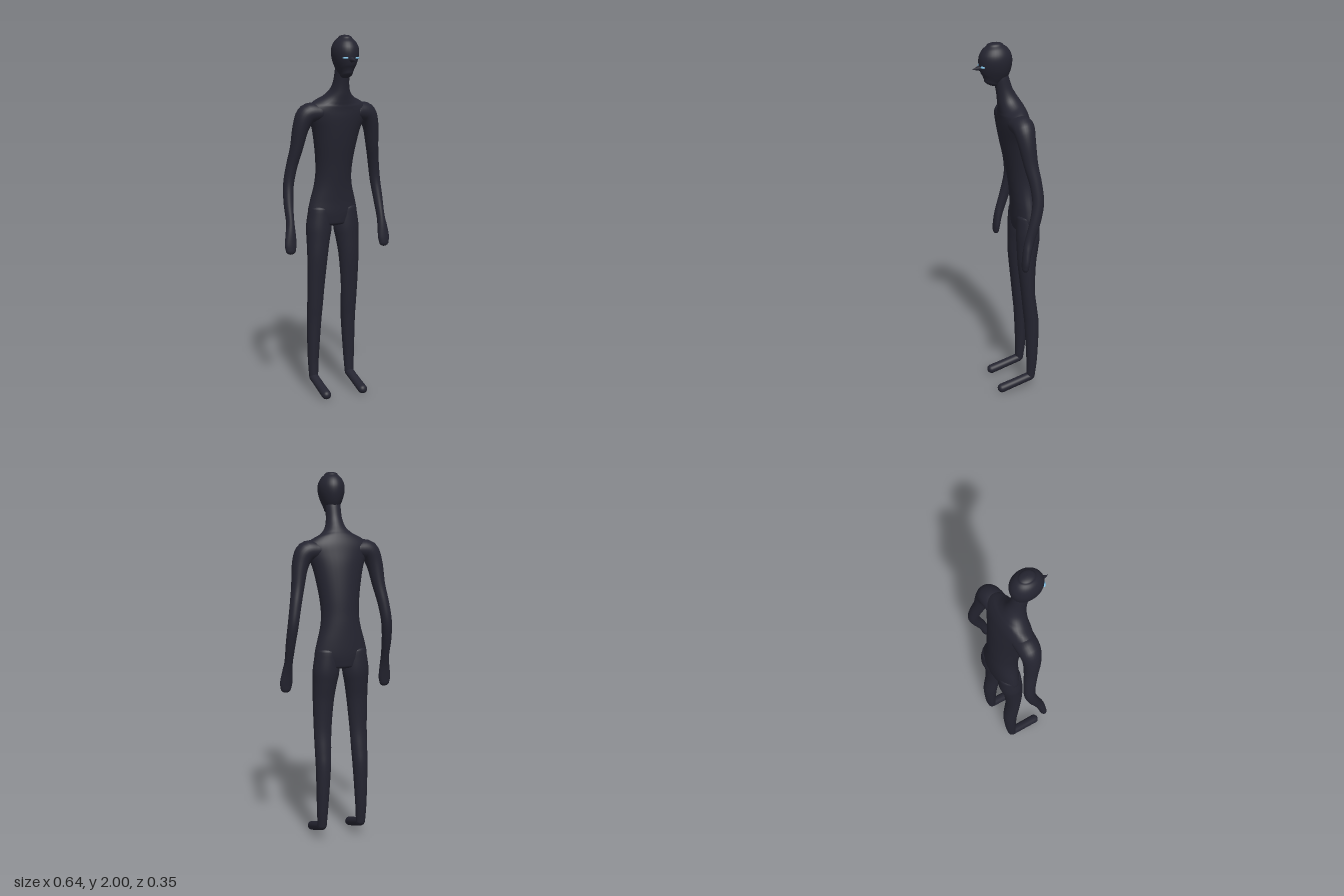
import * as THREE from 'three';

const skin = new THREE.MeshStandardMaterial({ color: 0x242430 });
skin.name = 'dark skin';
const eyeBlue = new THREE.MeshStandardMaterial({ color: 0x79b4d6 });
eyeBlue.name = 'eye blue';

const X = new THREE.Vector3(1, 0, 0);
const Z = new THREE.Vector3(0, 0, 1);

// Smooth skin over elliptical sections [x, y, z, radius along ref, other radius], with domed ends
function loft(name, sections, ref, cap0, cap1, steps = 5, sides = 32) {
  const path = new THREE.CatmullRomCurve3(sections.map(s => new THREE.Vector3(s[0], s[1], s[2])), false, 'catmullrom');
  const radii = new THREE.CatmullRomCurve3(sections.map(s => new THREE.Vector3(s[3], s[4], 0)), false, 'catmullrom');
  const pos = [], index = [];
  let rings = 0;
  const addRing = (u, shift, scale) => {
    const t = path.getTangent(u);
    const c = path.getPoint(u).addScaledVector(t, shift);
    const r = radii.getPoint(u);
    const s = ref.clone().addScaledVector(t, -ref.dot(t)).normalize();
    const f = t.clone().cross(s);
    for (let j = 0; j < sides; j++) {
      const a = j / sides * Math.PI * 2;
      const p = c.clone()
        .addScaledVector(s, Math.cos(a) * r.x * scale)
        .addScaledVector(f, Math.sin(a) * r.y * scale);
      pos.push(p.x, p.y, p.z);
    }
    rings++;
  };
  const dome = 6, n = (sections.length - 1) * steps;
  for (let i = 0; i < dome; i++) {
    const a = (1 - i / dome) * Math.PI / 2;
    addRing(0, -cap0 * Math.sin(a), Math.max(Math.cos(a), 0.001));
  }
  for (let i = 0; i <= n; i++) addRing(i / n, 0, 1);
  for (let i = 1; i <= dome; i++) {
    const a = i / dome * Math.PI / 2;
    addRing(1, cap1 * Math.sin(a), Math.max(Math.cos(a), 0.001));
  }
  for (let i = 0; i < rings - 1; i++) {
    for (let j = 0; j < sides; j++) {
      const k = (j + 1) % sides;
      const a = i * sides + j, b = i * sides + k;
      index.push(a, b, b + sides, a, b + sides, a + sides);
    }
  }
  const geo = new THREE.BufferGeometry();
  geo.setAttribute('position', new THREE.Float32BufferAttribute(pos, 3));
  geo.setIndex(index);
  geo.computeVertexNormals();
  const mesh = new THREE.Mesh(geo, skin);
  mesh.name = name;
  return mesh;
}

const mirror = (sections, side) => sections.map(([x, ...rest]) => [x * side, ...rest]);

// Hips up through waist, chest and shoulders to the neck
const torso = [
  [0, 0.975, -0.105, 0.125, 0.060],
  [0, 1.03, -0.105, 0.147, 0.066],
  [0, 1.10, -0.104, 0.134, 0.068],
  [0, 1.18, -0.099, 0.113, 0.071],
  [0, 1.25, -0.092, 0.105, 0.074],
  [0, 1.33, -0.083, 0.110, 0.078],
  [0, 1.42, -0.070, 0.124, 0.082],
  [0, 1.50, -0.058, 0.142, 0.083],
  [0, 1.56, -0.048, 0.166, 0.080],
  [0, 1.605, -0.041, 0.180, 0.075],
  [0, 1.64, -0.032, 0.150, 0.069],
  [0, 1.665, -0.023, 0.098, 0.063],
  [0, 1.70, -0.010, 0.060, 0.055],
  [0, 1.75, 0.006, 0.044, 0.044],
  [0, 1.82, 0.024, 0.041, 0.040],
];

const head = [
  [0, 1.797, 0.070, 0.032, 0.046],
  [0, 1.825, 0.062, 0.047, 0.069],
  [0, 1.86, 0.056, 0.062, 0.083],
  [0, 1.90, 0.053, 0.071, 0.089],
  [0, 1.935, 0.053, 0.069, 0.085],
  [0, 1.965, 0.054, 0.055, 0.068],
  [0, 1.985, 0.055, 0.035, 0.044],
];

const arm = [
  [0.11, 1.590, -0.043, 0.062, 0.050],
  [0.175, 1.580, -0.048, 0.058, 0.056],
  [0.210, 1.515, -0.055, 0.048, 0.045],
  [0.230, 1.40, -0.072, 0.038, 0.035],
  [0.250, 1.30, -0.093, 0.033, 0.031],
  [0.266, 1.20, -0.102, 0.031, 0.029],
  [0.275, 1.10, -0.084, 0.029, 0.026],
  [0.278, 1.00, -0.055, 0.026, 0.022],
  [0.282, 0.94, -0.040, 0.023, 0.028],
  [0.286, 0.88, -0.031, 0.020, 0.034],
  [0.287, 0.848, -0.028, 0.018, 0.029],
];

const leg = [
  [0.078, 1.05, -0.105, 0.064, 0.060],
  [0.084, 0.95, -0.105, 0.073, 0.064],
  [0.090, 0.88, -0.101, 0.066, 0.059],
  [0.097, 0.78, -0.096, 0.058, 0.050],
  [0.103, 0.62, -0.102, 0.049, 0.039],
  [0.105, 0.50, -0.115, 0.045, 0.040],
  [0.107, 0.40, -0.125, 0.041, 0.040],
  [0.112, 0.20, -0.126, 0.032, 0.031],
  [0.113, 0.085, -0.120, 0.026, 0.024],
];

const foot = [
  [0.113, 0.079, -0.115, 0.026, 0.024],
  [0.113, 0.053, -0.035, 0.026, 0.024],
  [0.113, 0.026, 0.051, 0.027, 0.025],
];

export function createModel() {
  const model = new THREE.Group();
  model.name = 'figure';
  model.add(loft('torso', torso, X, 0.02, 0.02));
  model.add(loft('head', head, X, 0.022, 0.015));

  // Pointed nose
  const nose = new THREE.Mesh(new THREE.ConeGeometry(0.021, 0.06, 20), skin);
  nose.name = 'nose';
  nose.position.set(0, 1.869, 0.148);
  nose.rotation.x = Math.PI / 2 + 0.15;
  model.add(nose);

  for (const side of [1, -1]) {
    const label = side > 0 ? 'left' : 'right';
    model.add(loft(label + 'Arm', mirror(arm, side), Z, 0.03, 0.024));
    model.add(loft(label + 'Leg', mirror(leg, side), X, 0.03, 0.024));
    model.add(loft(label + 'Foot', mirror(foot, side), X, 0.024, 0.025));

    // Narrow eye following the face
    const eye = new THREE.Mesh(new THREE.SphereGeometry(1, 20, 12), eyeBlue);
    eye.name = label + 'Eye';
    eye.scale.set(0.016, 0.006, 0.008);
    eye.position.set(side * 0.034, 1.879, 0.130);
    eye.rotation.y = side * 0.45;
    model.add(eye);
  }
  return model;
}
